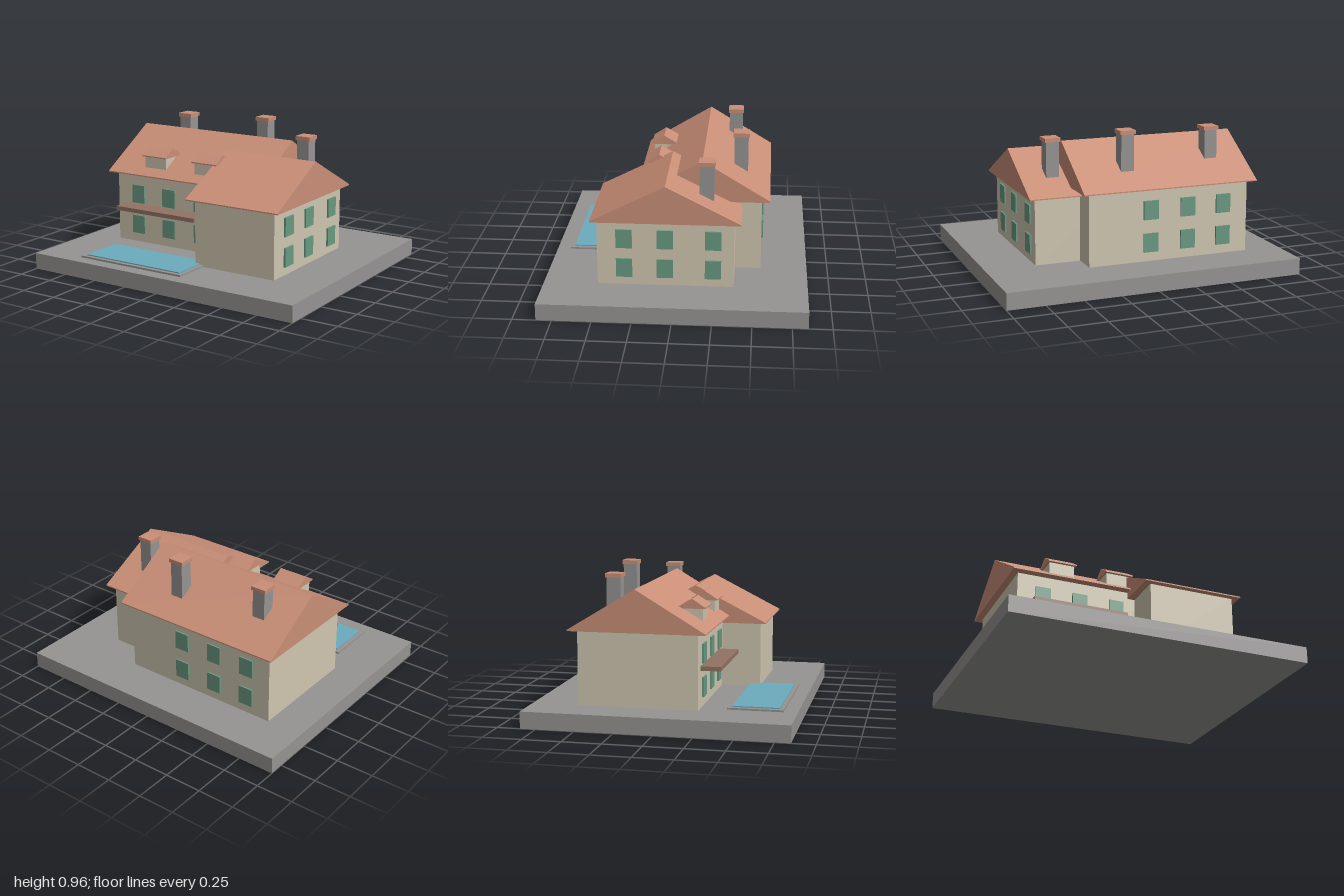
import * as THREE from 'three';

const mat = (name, color) => {
  const m = new THREE.MeshStandardMaterial({ color });
  m.name = name;
  return m;
};

export function createModel() {
  const stone = mat('grey stone', 0x969493);
  const wall = mat('cream wall', 0xd0c7b1);
  const tile = mat('terracotta', 0xca8f77);
  const green = mat('green window', 0x6a9a82);
  const wood = mat('brown wood', 0x927363);
  const water = mat('pool water', 0x6bacbc);

  const house = new THREE.Group();
  house.name = 'house';

  const add = (name, geometry, material) => {
    const mesh = new THREE.Mesh(geometry, material);
    mesh.name = name;
    house.add(mesh);
    return mesh;
  };

  // Box given by its limits on each axis
  const box = (name, material, [x0, x1], [y0, y1], [z0, z1]) =>
    add(name, new THREE.BoxGeometry(x1 - x0, y1 - y0, z1 - z0), material)
      .position.set((x0 + x1) / 2, (y0 + y1) / 2, (z0 + z1) / 2);

  // Solid gable roof with its ridge along x
  const gable = (name, [x0, x1], [eave, top], [z0, z1], ridge = (z0 + z1) / 2) => {
    const lip = 0.008;
    const shape = new THREE.Shape([
      [-z1, eave - lip], [-z0, eave - lip], [-z0, eave], [-ridge, top], [-z1, eave],
    ].map(([a, b]) => new THREE.Vector2(a, b)));
    const g = new THREE.ExtrudeGeometry(shape, { depth: x1 - x0, bevelEnabled: false });
    g.rotateY(Math.PI / 2);
    g.translate(x0, 0, 0);
    add(name, g, tile);
  };

  // Ground slab
  box('ground', stone, [-1, 1], [0, 0.11], [-0.85, 0.85]);

  // Main house and side wing
  box('mainWalls', wall, [-0.755, 0.36], [0.11, 0.6], [-0.545, 0.235]);
  gable('mainRoof', [-0.8, 0.41], [0.602, 0.87], [-0.6, 0.29], -0.158);
  box('wingWalls', wall, [0.07, 0.665], [0.11, 0.555], [-0.375, 0.5]);
  gable('wingRoof', [0.02, 0.71], [0.557, 0.8], [-0.42, 0.54], 0.06);

  // Dormers on the front slope
  for (const x of [-0.447, -0.04]) {
    box('dormerWalls', wall, [x - 0.086, x + 0.086], [0.62, 0.735], [0.075, 0.219]);
    gable('dormerRoof', [x - 0.099, x + 0.099], [0.731, 0.786], [0.056, 0.238], 0.152);
  }

  // Windows on the front and back of the main house
  for (const x of [-0.58, -0.325, -0.065]) {
    for (const y of [0.235, 0.452]) {
      for (const z of [-0.545, 0.235]) {
        box('window', green, [x - 0.051, x + 0.051], [y - 0.063, y + 0.063], [z - 0.012, z + 0.012]);
      }
    }
  }

  // Windows on the outer side of the wing
  for (const z of [0.327, 0.065, -0.243]) {
    for (const y of [0.228, 0.428]) {
      box('wingWindow', green, [0.653, 0.677], [y - 0.063, y + 0.063], [z - 0.052, z + 0.052]);
    }
  }

  // Balcony shelf between the two floors
  box('balcony', wood, [-0.68, -0.035], [0.352, 0.38], [0.225, 0.365]);

  // Chimneys: centre x, centre z, top of cap
  for (const [x, z, top] of [[-0.557, -0.348, 0.942], [0.058, -0.4, 0.963], [0.497, -0.194, 0.907]]) {
    box('chimney', stone, [x - 0.044, x + 0.044], [0.58, top - 0.025], [z - 0.046, z + 0.046]);
    box('chimneyCap', tile, [x - 0.053, x + 0.053], [top - 0.026, top], [z - 0.053, z + 0.053]);
  }

  // Swimming pool
  box('poolRim', stone, [-0.675, 0.13], [0.11, 0.122], [0.405, 0.76]);
  box('poolWater', water, [-0.645, 0.103], [0.121, 0.129], [0.432, 0.733]);

  return house;
}
